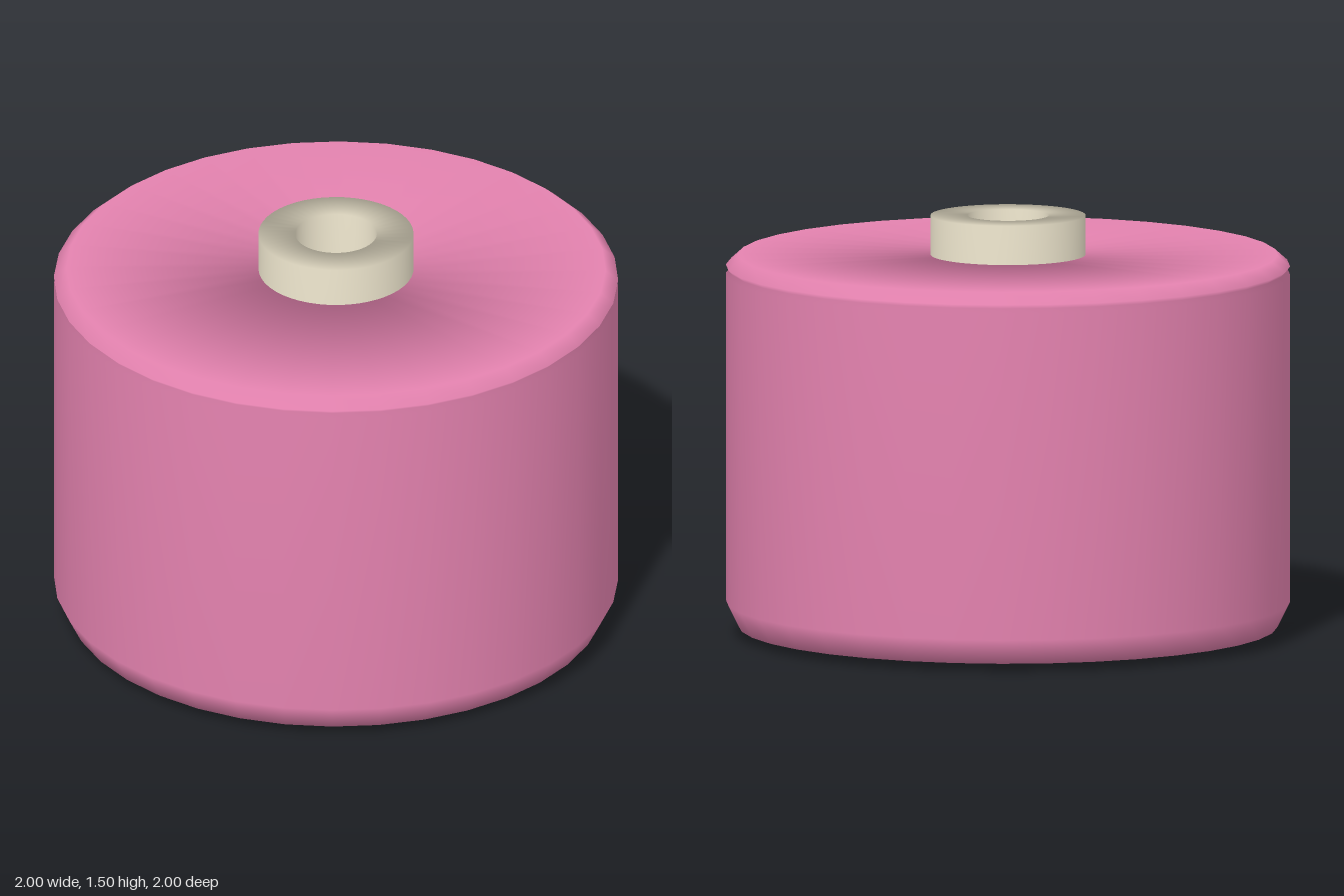
import * as THREE from 'three';

// Revolve a profile of [radius, height] pairs, smooth across its corners.
function turned(name, profile, sides, color) {
  const points = profile.map(([r, y]) => new THREE.Vector2(r, y));
  const mesh = new THREE.Mesh(
    new THREE.LatheGeometry(points, sides),
    new THREE.MeshStandardMaterial({ color, side: THREE.DoubleSide })
  );
  mesh.name = name;
  return mesh;
}

export function createModel() {
  const model = new THREE.Group();
  model.name = 'roll';
  const pink = 0xe583b0;
  const cream = 0xebe3cb;

  // Wide drum: chamfered foot, narrow groove and chamfered lip, bored through
  model.add(turned('drum', [
    [0.27, 0.03], [0.955, 0.03], [1, 0.12],
    [1, 1.29], [0.985, 1.305], [1, 1.32],
    [0.955, 1.36], [0.27, 1.36], [0.27, 0.03],
  ], 36, pink));

  // Hollow spindle with a closed foot
  model.add(turned('spindle', [
    [0, 0], [0.23, 0], [0.275, 0], [0.275, 1.5],
    [0.145, 1.5], [0.145, 0.08],
  ], 48, cream));

  // Floor seen down the bore of the spindle
  const floor = new THREE.Mesh(
    new THREE.CircleGeometry(0.146, 48).rotateX(-Math.PI / 2),
    new THREE.MeshStandardMaterial({ color: pink })
  );
  floor.name = 'boreFloor';
  floor.position.y = 0.09;
  model.add(floor);

  return model;
}
